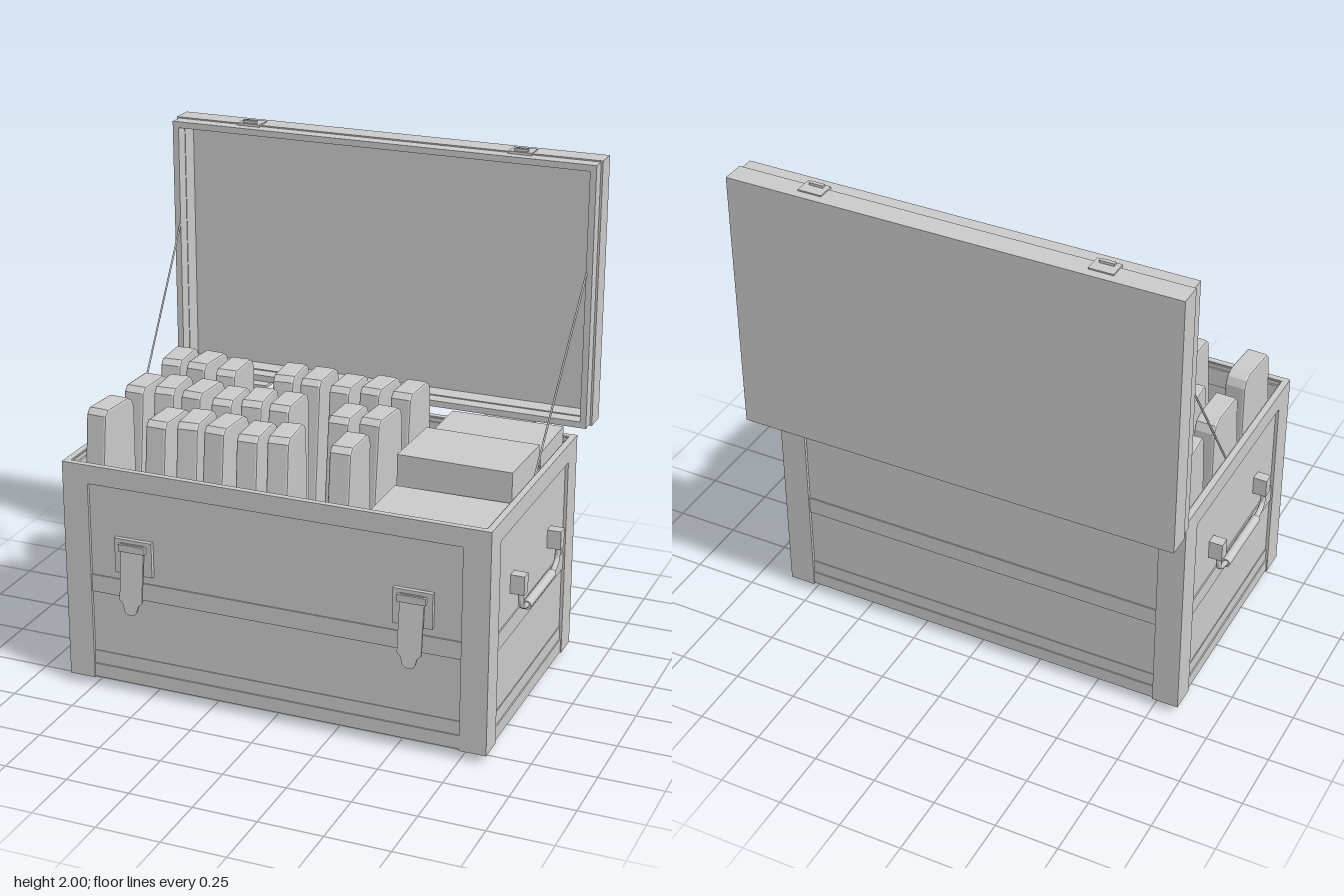
import * as THREE from 'three';

const mat = new THREE.MeshStandardMaterial({ color: 0xcccccc, flatShading: true });
const smooth = new THREE.MeshStandardMaterial({ color: 0xcccccc });

function add(parent, name, geo, m = mat) {
  const mesh = new THREE.Mesh(geo, m);
  mesh.name = name;
  parent.add(mesh);
  return mesh;
}

// Box given by its limits on each axis
function block(parent, name, x0, x1, y0, y1, z0, z1) {
  const g = new THREE.BoxGeometry(x1 - x0, y1 - y0, z1 - z0);
  g.translate((x0 + x1) / 2, (y0 + y1) / 2, (z0 + z1) / 2);
  return add(parent, name, g);
}

function polygon(points) {
  return new THREE.Shape(points.map(([x, y]) => new THREE.Vector2(x, y)));
}

// Rectangular ring with wall thickness t, extruded along z
function ring(hx, v0, v1, t, depth) {
  const rect = (x, a, b) => [[-x, a], [x, a], [x, b], [-x, b]];
  const s = polygon(rect(hx, v0, v1));
  s.holes.push(polygon(rect(hx - t, v0 + t, v1 - t)));
  return new THREE.ExtrudeGeometry(s, { depth, bevelEnabled: false });
}

// Horizontal band round the chest: x half-width, back z, front z, thickness, bottom, top
function band(parent, name, hx, z0, z1, t, y0, y1) {
  const g = ring(hx, -z1, -z0, t, y1 - y0);
  g.rotateX(-Math.PI / 2).translate(0, y0, 0);
  return add(parent, name, g);
}

function buildChest() {
  const chest = new THREE.Group();
  chest.name = 'chest';
  band(chest, 'wallPanels', 0.838, -0.418, 0.558, 0.018, 0.04, 0.915);
  band(chest, 'topRim', 0.85, -0.43, 0.57, 0.025, 0.845, 0.92);
  band(chest, 'innerLip', 0.827, -0.407, 0.547, 0.014, 0.82, 0.9);
  band(chest, 'middleRail', 0.843, -0.423, 0.563, 0.01, 0.4, 0.47);
  band(chest, 'lowerRail', 0.841, -0.421, 0.561, 0.01, 0.095, 0.15);
  band(chest, 'bottomRail', 0.846, -0.426, 0.566, 0.015, 0.04, 0.095);
  block(chest, 'bottom', -0.835, 0.835, 0.04, 0.06, -0.415, 0.555);
  block(chest, 'innerFloor', -0.825, 0.825, 0.48, 0.5, -0.405, 0.545);

  // L-shaped corner posts
  for (const sx of [-1, 1]) for (const sz of [-1, 1]) {
    const w = 0.105, t = 0.02;
    const pts = [[0, 0], [w, 0], [w, t], [t, t], [t, w], [0, w]]
      .map(([a, b]) => [sx * (0.85 - a), -(0.07 + sz * (0.5 - b))]);
    const g = new THREE.ExtrudeGeometry(polygon(pts), { depth: 0.81, bevelEnabled: false });
    g.rotateX(-Math.PI / 2).translate(0, 0.035, 0);
    add(chest, 'cornerPost', g);
  }
  for (const z of [0.43, -0.285]) block(chest, 'skid', -0.82, 0.82, 0, 0.04, z - 0.047, z + 0.047);
  return chest;
}

function buildLid() {
  const lid = new THREE.Group();
  lid.name = 'lid';
  const back = ring(0.88, 0.93, 1.985, 0.035, 0.085);
  add(lid, 'lidFrame', back.translate(0, 0, -0.605));
  const front = ring(0.872, 0.936, 1.98, 0.025, 0.055);
  add(lid, 'lidLip', front.translate(0, 0, -0.52));
  block(lid, 'lidPanel', -0.88, 0.88, 0.93, 1.985, -0.61, -0.595);
  for (const x of [-0.56, 0.56]) {
    block(lid, 'latchKeeper', x - 0.047, x + 0.047, 1.98, 1.99, -0.575, -0.505);
    block(lid, 'keeperHook', x - 0.028, x + 0.028, 1.985, 2, -0.53, -0.515);
  }
  return lid;
}

function buildLatch(x) {
  const latch = new THREE.Group();
  latch.name = 'latch';
  block(latch, 'latchPlate', -0.077, 0.077, 0.505, 0.645, 0.555, 0.575);
  block(latch, 'latchHead', -0.055, 0.055, 0.6, 0.628, 0.57, 0.59);
  // Strap with a narrowed tip, swung out at the bottom
  const s = polygon([[-0.047, 0], [-0.047, -0.225], [-0.032, -0.24], [-0.025, -0.268],
    [-0.012, -0.28], [0.012, -0.28], [0.025, -0.268], [0.032, -0.24], [0.047, -0.225], [0.047, 0]]);
  const strap = add(latch, 'latchStrap', new THREE.ExtrudeGeometry(s, { depth: 0.008, bevelEnabled: false }));
  strap.position.set(0, 0.63, 0.573);
  strap.rotation.x = -0.11;
  latch.position.x = x;
  return latch;
}

function buildHandle(side) {
  const handle = new THREE.Group();
  handle.name = 'handle';
  const zc = 0.072, half = 0.217, x = 0.874;
  for (const s of [-1, 1]) {
    const z = zc + s * half;
    block(handle, 'handleMount', 0.835, 0.892, 0.57, 0.645, z - 0.022, z + 0.022);
  }
  const v = (y, z) => new THREE.Vector3(x, y, zc + z);
  const path = new THREE.CatmullRomCurve3([v(0.59, -half), v(0.53, -half), v(0.51, -0.2), v(0.492, -0.15),
    v(0.49, 0), v(0.492, 0.15), v(0.51, 0.2), v(0.53, half), v(0.59, half)]);
  add(handle, 'handleRod', new THREE.TubeGeometry(path, 40, 0.011, 8), smooth);
  const grip = new THREE.CylinderGeometry(0.018, 0.018, 0.3, 14);
  add(handle, 'handleGrip', grip.rotateX(Math.PI / 2).translate(x, 0.49, zc), smooth);
  if (side < 0) {
    handle.rotation.y = Math.PI;
    handle.position.z = 2 * zc;
  }
  return handle;
}

// Thin upright pack with a chamfered top and a sloping front
function buildPack() {
  const s = polygon([[-0.107, 0.5], [-0.107, 1.05], [-0.095, 1.077], [-0.07, 1.092],
    [0.07, 1.092], [0.086, 1.075], [0.102, 0.92], [0.147, 0.5]]);
  const g = new THREE.ExtrudeGeometry(s, {
    depth: 0.068, bevelSize: 0.008, bevelThickness: 0.008, bevelSegments: 2,
  });
  return g.translate(0, 0, -0.034).rotateY(-Math.PI / 2);
}

function buildContents() {
  const contents = new THREE.Group();
  contents.name = 'contents';
  const pack = buildPack();
  const rows = [
    [0.37, [-0.75, -0.505, -0.385, -0.265, -0.14, -0.02, 0.23]],
    [0.07, [-0.75, -0.63, -0.505, -0.385, -0.265, -0.145, 0.1, 0.23]],
    [-0.23, [-0.75, -0.63, -0.51, -0.265, -0.145, -0.02, 0.11, 0.235]],
  ];
  const yaw = [-0.06, -0.02, 0.08, -0.04, 0.05, 0.09, 0.03, -0.01];
  rows.forEach(([z, xs], r) => xs.forEach((x, i) => {
    const p = add(contents, 'pack', pack);
    p.position.set(x, (i + r) % 3 === 1 ? -0.012 : 0, z);
    p.rotation.y = yaw[(i + r) % yaw.length];
  }));
  // Cartons stacked on the left
  for (const [z0, z1, top, turn] of [[0.225, 0.53, 0.885, 0.01], [-0.09, 0.21, 1.0, -0.015], [-0.395, -0.1, 0.96, 0.015]]) {
    const g = new THREE.BoxGeometry(0.45, top - 0.5, z1 - z0);
    const carton = add(contents, 'carton', g);
    carton.position.set(0.58, (top + 0.5) / 2, (z0 + z1) / 2);
    carton.rotation.y = turn;
  }
  return contents;
}

export function createModel() {
  const model = new THREE.Group();
  model.name = 'toolChest';
  model.add(buildChest(), buildLid(), buildContents());
  for (const x of [-0.56, 0.56]) model.add(buildLatch(x));
  for (const side of [-1, 1]) {
    model.add(buildHandle(side));
    // Lid stay cable
    const cable = new THREE.LineCurve3(new THREE.Vector3(side * 0.82, 0.9, 0.01),
      new THREE.Vector3(side * 0.852, 1.62, -0.51));
    add(model, 'lidStay', new THREE.TubeGeometry(cable, 1, 0.004, 6), smooth);
  }
  // Hinges between the back wall and the lid
  for (const x of [-0.56, 0, 0.56]) {
    block(model, 'hingeLeaf', x - 0.1, x + 0.1, 0.86, 0.935, -0.438, -0.425);
    block(model, 'hingeArm', x - 0.1, x + 0.1, 0.922, 0.935, -0.53, -0.425);
  }
  return model;
}
